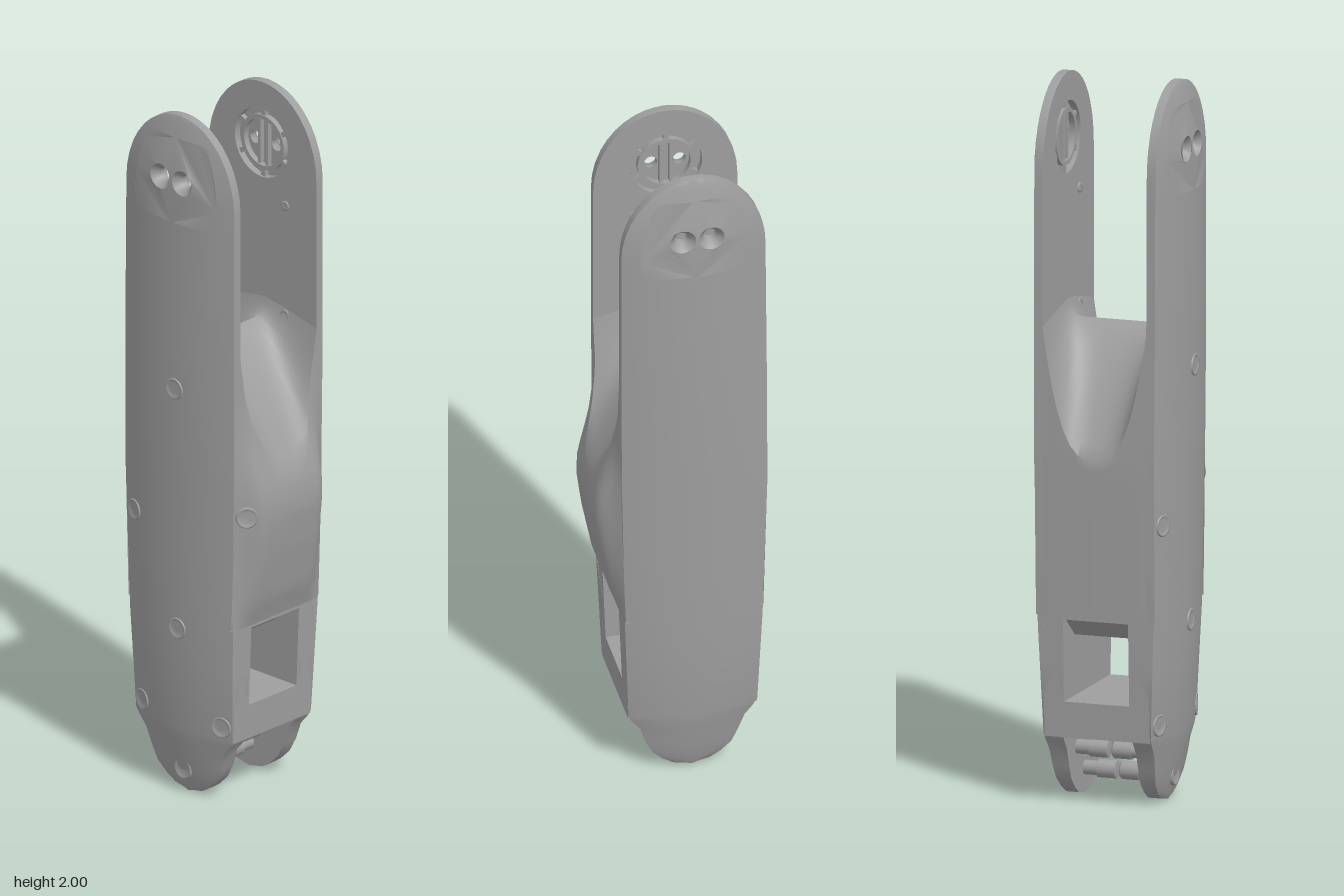
import * as THREE from 'three';
import { toCreasedNormals } from 'three/addons/utils/BufferGeometryUtils.js';

const casing = new THREE.MeshStandardMaterial({ color: 0x9e9e9e, side: THREE.DoubleSide });
casing.name = 'casing grey';

// Plate sections: y, left x, right x, rim z, crown z, inner z
const SECTIONS = [
  [0, -.031, -.029, .135, .14, .1], [.01, -.08, .02, .137, .144, .1], [.03, -.11, .05, .14, .15, .1],
  [.06, -.14, .08, .144, .158, .1], [.1, -.157, .1, .148, .166, .1], [.15, -.175, .115, .152, .177, .1],
  [.18, -.198, .14, .154, .182, .1], [.2, -.21, .15, .155, .185, .1], [.4, -.218, .158, .163, .196, .1],
  [.5, -.222, .162, .167, .2, .15], [.95, -.234, .172, .173, .208, .15],
  [1.3, -.232, .175, .175, .213, .15], [1.76, -.228, .175, .175, .213, .15],
];
const HUB = { x: -.03, y: 1.82, r: .1 };
const lerp = THREE.MathUtils.lerp;

function table(rows, y) {
  let i = 0;
  while (i < rows.length - 2 && y > rows[i + 1][0]) i++;
  const a = rows[i], b = rows[i + 1], t = THREE.MathUtils.clamp((y - a[0]) / (b[0] - a[0]), 0, 1);
  return a.map((v, k) => lerp(v, b[k], t));
}

function section(y) {
  let [, l, r, rim, crown, inner] = table(SECTIONS, y);
  if (y > 1.76) {
    const t = (y - 1.76) / .24, w = .2015 * Math.sqrt(Math.max(1 - t * t, 0)) + 1e-4;
    l = -.0265 - w; r = -.0265 + w;
    crown = .176 + .037 * (1 - t * t);
  }
  return { l, r, mid: (l + r) / 2, half: (r - l) / 2, rim, crown, inner };
}

function outerZ(x, y) {
  const s = section(y), u = (x - s.mid) / s.half;
  return s.rim + (s.crown - s.rim) * (1 - u * u);
}

// Skin closed loops of points, optionally leaving out cells
function loft(loops, skip = () => false) {
  const n = loops[0].length, idx = [];
  for (let i = 0; i < loops.length - 1; i++) for (let j = 0; j < n; j++) {
    if (skip(i, j)) continue;
    const k = (j + 1) % n, a = i * n + j, b = i * n + k;
    idx.push(a, b, b + n, a, b + n, a + n);
  }
  const g = new THREE.BufferGeometry();
  g.setAttribute('position', new THREE.Float32BufferAttribute(loops.flat(2), 3));
  g.setIndex(idx);
  return toCreasedNormals(g, .6);
}

function add(group, geometry, name, x = 0, y = 0, z = 0) {
  const mesh = new THREE.Mesh(geometry, casing);
  mesh.name = name;
  mesh.position.set(x, y, z);
  group.add(mesh);
  return mesh;
}

// Mirror a geometry in z, keeping its faces outward
function mirrored(geometry) {
  const g = geometry.index ? geometry.toNonIndexed() : geometry.clone();
  g.scale(1, 1, -1);
  for (const a of Object.values(g.attributes)) for (let i = 0; i < a.count; i += 3)
    for (let c = 0; c < a.itemSize; c++) {
      const v = a.getComponent(i + 1, c);
      a.setComponent(i + 1, c, a.getComponent(i + 2, c));
      a.setComponent(i + 2, c, v);
    }
  return g;
}

const circle = (x, y, r) => new THREE.Path().absarc(x, y, r, 0, Math.PI * 2, true);
const lathe = pts => new THREE.LatheGeometry(pts.map(p => new THREE.Vector2(...p)), 28).rotateX(Math.PI / 2);

function sidePlate() {
  const g = new THREE.Group(), N = 24, c0 = 3, c1 = 21;
  const ys = [...SECTIONS.map(s => s[0]), .7, 1.1, 1.5, 1.7, 1.8, 1.84, 1.88, 1.91, 1.94, 1.96, 1.975, 1.985, 1.993, 1.998, 2]
    .sort((a, b) => a - b);
  const xAt = (y, j) => { const s = section(y); return s.mid + s.half * (j / N * 2 - 1); };
  const loops = ys.map(y => {
    const out = [], inn = [], s = section(y);
    for (let j = 0; j <= N; j++) {
      const x = xAt(y, j);
      out.push([x, y, outerZ(x, y)]);
      inn.unshift([x, y, s.inner]);
    }
    return [...out, ...inn];
  });
  const r0 = ys.indexOf(1.7), r1 = ys.indexOf(1.94);
  add(g, loft(loops, (i, j) => {
    const c = j > N ? j - N - 1 : j;
    return i >= r0 && i < r1 && j !== N && c >= c0 && c < c1;
  }), 'plate shell');

  // Faces around the pivot, cut by the bolt holes and the hub recess
  const edge = [];
  for (let j = c0; j < c1; j++) edge.push([j, r0]);
  for (let i = r0; i < r1; i++) edge.push([c1, i]);
  for (let j = c1; j > c0; j--) edge.push([j, r1]);
  for (let i = r1; i > r0; i--) edge.push([c0, i]);
  const outline = () => new THREE.Shape(edge.map(([j, i]) => new THREE.Vector2(xAt(ys[i], j), ys[i])));
  const boltXs = [HUB.x - .04, HUB.x + .04];

  const outer = outline();
  boltXs.forEach(x => outer.holes.push(circle(x, HUB.y, .036)));
  const face = new THREE.ShapeGeometry(outer, 24), p = face.attributes.position;
  for (let i = 0; i < p.count; i++) p.setZ(i, outerZ(p.getX(i), p.getY(i)));
  face.computeVertexNormals();
  add(g, face, 'pivot outer face');

  const inner = outline();
  inner.holes.push(circle(HUB.x, HUB.y, HUB.r));
  add(g, mirrored(new THREE.ShapeGeometry(inner, 24)), 'pivot inner face', 0, 0, .15);

  // Countersunk bolt wells
  boltXs.forEach(x => add(g, lathe([[.018, .168], [.018, .188], [.036, .209]]), 'bolt well', x, HUB.y));

  // Hub recess with ring, ribs and centre bars
  add(g, lathe([[HUB.r, .17], [HUB.r, .15]]), 'hub wall', HUB.x, HUB.y);
  const floor = new THREE.Shape().absarc(0, 0, HUB.r, 0, Math.PI * 2);
  floor.holes.push(circle(-.04, 0, .018), circle(.04, 0, .018));
  add(g, mirrored(new THREE.ShapeGeometry(floor, 24)), 'hub floor', HUB.x, HUB.y, .17);
  const ring = new THREE.Shape().absarc(0, 0, .08, 0, Math.PI * 2);
  ring.holes.push(circle(0, 0, .068));
  add(g, new THREE.ExtrudeGeometry(ring, { depth: .018, bevelEnabled: false, curveSegments: 24 }), 'hub ring', HUB.x, HUB.y, .153);
  for (let k = 0; k < 6; k++) {
    const a = (k + .5) * Math.PI / 3;
    add(g, new THREE.BoxGeometry(.024, .014, .014).rotateZ(a), 'hub rib',
      HUB.x + .09 * Math.cos(a), HUB.y + .09 * Math.sin(a), .163);
  }
  for (const x of [-.014, .014]) add(g, new THREE.BoxGeometry(.009, .13, .015), 'hub bar', HUB.x + x, HUB.y, .163);

  // Small inner studs and the lower hinge pins
  for (const y of [1.66, 1.34]) add(g, lathe([[0, .147], [.008, .147], [.014, .145], [.014, .152]]), 'inner stud', .06, y);
  for (const [x, y] of [[-.03, .07], [.03, .14], [-.09, .14]]) {
    add(g, lathe([[0, .006], [.022, .006], [.025, .01], [.025, .06]]), 'hinge pin', x, y);
    add(g, lathe([[.025, .06], [.02, .06], [.02, .12]]), 'hinge pin neck', x, y);
  }
  return g;
}

// Middle body: slices along z, with a saddle on top and a bulge on +x
function bodyGeometry() {
  const BULGE = [[.5, 0], [.54, .004], [.6, .026], [.75, .052], [.86, .064], [.93, .059], [1.0, .04], [1.08, .017], [1.2, 0], [1.4, 0]];
  const zs = [-.172, -.16, -.15, -.146, -.14, -.13, -.12, -.105, -.09, -.07, -.045, -.02];
  return loft([...zs, 0, ...zs.map(z => -z).reverse()].map(z => {
    const a = Math.min(Math.abs(z) / .15, 1);
    const edge = .97 + .36 * a ** 2.9, ridge = 1.32 + .05 * a ** 16, xm = -.02;
    const spread = 1 - THREE.MathUtils.smoothstep(Math.abs(z), .1, .185);
    const right = y => section(y).r + table(BULGE, y)[1] * spread - (Math.abs(z) > .16 ? .002 : 0);
    const left = y => section(y).l - .003 * (1 - a * a);
    const pts = [];
    for (let i = 0; i < 16; i++) { const y = lerp(.53, edge, i / 16); pts.push([right(y), y, z]); }
    for (let i = 0; i <= 24; i++) {
      const v = 1 - i / 12, t = Math.abs(v);
      pts.push([lerp(xm, v > 0 ? right(edge) : left(edge), t), ridge - (ridge - edge) * t ** 1.3, z]);
    }
    for (let i = 15; i >= 0; i--) { const y = lerp(.53, edge, i / 16); pts.push([left(y), y, z]); }
    return pts;
  }));
}

// Lower frame with a window through x
function frameGeometry() {
  const rect = (C, w, y0, y1) => new C([[-w, y0], [w, y0], [w, y1], [-w, y1]].map(q => new THREE.Vector2(...q)));
  const shape = rect(THREE.Shape, .152, .19, .56);
  shape.holes.push(rect(THREE.Path, .094, .29, .52));
  const g = new THREE.ExtrudeGeometry(shape, { depth: 1, bevelEnabled: false }).translate(0, 0, -.5).rotateY(Math.PI / 2);
  const p = g.attributes.position;
  for (let i = 0; i < p.count; i++) {
    const s = section(Math.max(p.getY(i), .2));
    p.setX(i, p.getX(i) > 0 ? s.r : s.l);
  }
  g.computeVertexNormals();
  return g;
}

export function createModel() {
  const model = new THREE.Group();
  model.name = 'limb casing';

  const front = sidePlate();
  front.name = 'frontPlate';
  const back = new THREE.Group();
  back.name = 'backPlate';
  front.children.forEach(m => add(back, mirrored(m.geometry), m.name, m.position.x, m.position.y, -m.position.z));
  model.add(front, back);

  add(model, bodyGeometry(), 'middleBody');
  add(model, frameGeometry(), 'lowerFrame');

  // Sloped lintel above the window
  const lintel = new THREE.Shape([[-.218, .53], [-.13, .46], [.07, .46], [.158, .53]].map(q => new THREE.Vector2(...q)));
  add(model, new THREE.ExtrudeGeometry(lintel, { depth: .19, bevelEnabled: false }), 'windowLintel', 0, 0, -.095);

  // Screw seats on the front
  const seat = lathe([[0, -.001], [.011, -.001], [.014, .001], [.017, -.001], [.026, .003], [.03, .003], [.032, -.006]]);
  const placeSeat = (x, y, z, n) => add(model, seat, 'screwSeat', x, y, z)
    .quaternion.setFromUnitVectors(new THREE.Vector3(0, 0, 1), n.normalize());
  for (const [x, y] of [[-.015, 1.21], [-.19, .795], [-.015, .5], [-.175, .235], [.118, .235], [-.03, .07]]) {
    const e = .004, slope = (outerZ(x - e, y) - outerZ(x + e, y)) / (2 * e);
    placeSeat(x, y, outerZ(x, y), new THREE.Vector3(slope, 0, 1));
  }
  placeSeat(.197, .87, .148, new THREE.Vector3(.75, 0, .66));
  return model;
}
